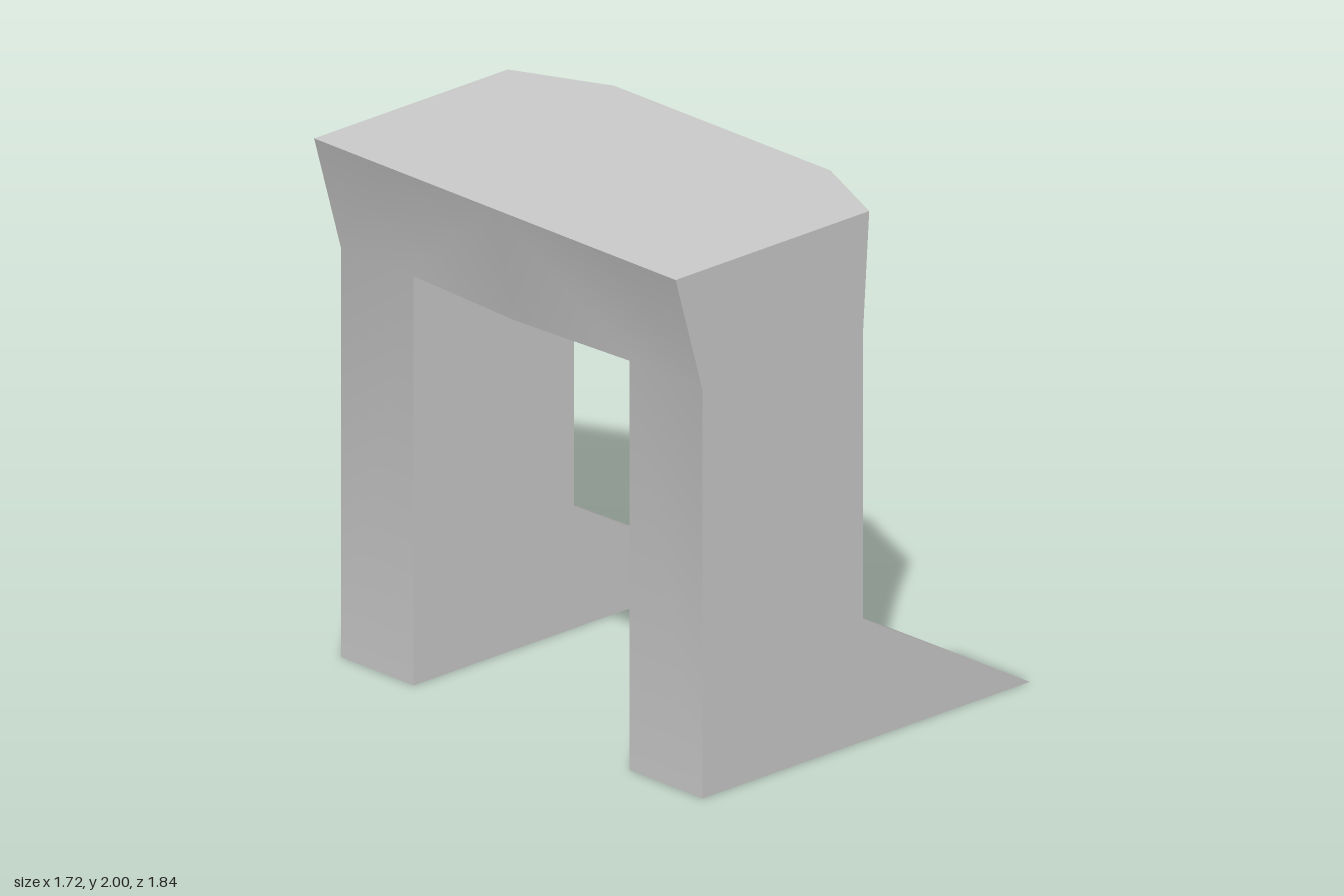
import * as THREE from 'three';
import { toCreasedNormals } from 'three/addons/utils/BufferGeometryUtils.js';

const section = (z, pts) => pts.map(([x, y]) => new THREE.Vector3(x, y, z));

export function createModel() {
  // Cross-sections running counter-clockwise: foot, shin, top, back
  const leg = [[-0.73, 0], [0.86, 0], [0.05, 0.465], [0.05, 1.55]];
  const outer = section(0.92, [...leg, [0.08, 2], [-0.86, 2], [-0.73, 1.55]]);
  const inner = section(0.55, [...leg, [0.245, 2], [-0.86, 2], [-0.73, 1.55]]);
  const middle = section(0, [[0.14, 1.55], [0.245, 2], [-0.86, 2], [-0.76, 1.55]]);

  const tris = [];
  // Skin between two matching closed sections
  const loft = (near, far) => near.forEach((a, i) => {
    const j = (i + 1) % near.length;
    tris.push([a, far[i], near[j]], [far[i], far[j], near[j]]);
  });
  // Flat side face
  const cap = (loop, flip) => {
    const flat = loop.map(p => new THREE.Vector2(p.x, p.y));
    for (const [a, b, c] of THREE.ShapeUtils.triangulateShape(flat, [])) {
      tris.push(flip ? [loop[a], loop[c], loop[b]] : [loop[a], loop[b], loop[c]]);
    }
  };

  // One half: leg with foot, then the bridge to the centre line
  cap(outer, false);
  loft(outer, inner);
  cap([...inner.slice(0, 4), inner[6]], true);
  loft(inner.slice(3), middle);

  // Mirror to the other half
  const points = [];
  for (const [a, b, c] of tris) {
    points.push(a, b, c);
    for (const p of [a, c, b]) points.push(new THREE.Vector3(p.x, p.y, -p.z));
  }

  // Soft bends along the front and back, sharp corners elsewhere
  const geometry = toCreasedNormals(new THREE.BufferGeometry().setFromPoints(points), 1.08);
  const body = new THREE.Mesh(geometry, new THREE.MeshStandardMaterial({ color: 0xcccccc }));
  body.name = 'archedBodyWithFeet';

  const group = new THREE.Group();
  group.name = 'footedArch';
  group.add(body);
  return group;
}
